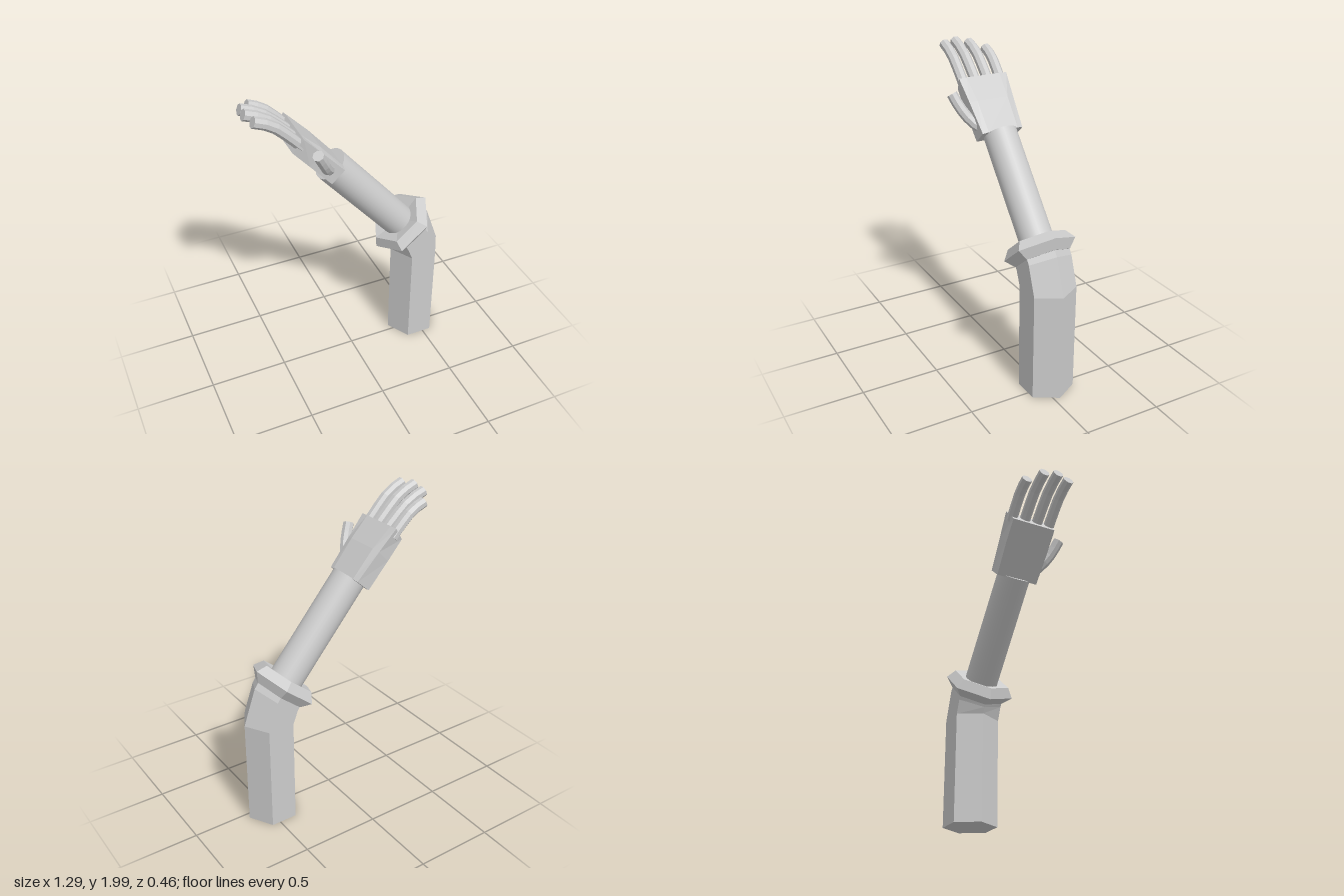
import * as THREE from 'three';

const flat = new THREE.MeshStandardMaterial({ color: 0xcccccc, flatShading: true });
const smooth = new THREE.MeshStandardMaterial({ color: 0xcccccc });
const V = (x, y, z) => new THREE.Vector3(x, y, z);

// Closed faceted skin over rings of points (counterclockwise seen from the far end)
function loft(name, rings) {
  const pts = [];
  const n = rings[0].length;
  const tri = (...corners) => corners.forEach((p) => pts.push(p));
  for (let i = 0; i < rings.length - 1; i++) {
    for (let j = 0; j < n; j++) {
      const k = (j + 1) % n;
      const [a, b, c, d] = [rings[i][j], rings[i][k], rings[i + 1][k], rings[i + 1][j]];
      tri(a, b, c);
      tri(a, c, d);
    }
  }
  const first = rings[0];
  const last = rings[rings.length - 1];
  for (let j = 1; j < n - 1; j++) {
    tri(first[0], first[j + 1], first[j]);
    tri(last[0], last[j], last[j + 1]);
  }
  const geometry = new THREE.BufferGeometry().setFromPoints(pts);
  geometry.computeVertexNormals();
  const mesh = new THREE.Mesh(geometry, flat);
  mesh.name = name;
  return mesh;
}

// Hexagon around a centre, tilted about z
function hexRing(x, y, z, radius, tilt = 0) {
  return Array.from({ length: 6 }, (_, i) => {
    const a = (i * Math.PI) / 3;
    const r = radius * Math.cos(a);
    return V(x + r * Math.cos(tilt), y + r * Math.sin(tilt), z - radius * Math.sin(a));
  });
}

// Bent faceted rod along a curve, with flat ends
function digit(name, points, radius, sides = 8, steps = 5) {
  const curve = new THREE.CatmullRomCurve3(points);
  const { normals, binormals } = curve.computeFrenetFrames(steps, false);
  const rings = normals.map((normal, i) => {
    const centre = curve.getPointAt(i / steps);
    return Array.from({ length: sides }, (_, j) => {
      const a = ((j + 0.5) / sides) * Math.PI * 2;
      return centre.clone()
        .addScaledVector(normal, radius * Math.cos(a))
        .addScaledVector(binormals[i], radius * Math.sin(a));
    });
  });
  return loft(name, rings);
}

export function createModel() {
  const model = new THREE.Group();
  model.name = 'raisedArm';
  const midZ = -0.04;
  const lean = THREE.MathUtils.degToRad(40);

  // Hexagonal sleeve with an elbow bend
  model.add(loft('sleeve', [
    hexRing(0.47, 0, midZ, 0.17),
    hexRing(0.47, 0.7, midZ, 0.17),
    hexRing(0.42, 0.835, midZ, 0.17, THREE.MathUtils.degToRad(35.5)),
    hexRing(0.403, 0.86, midZ, 0.17, lean),
  ]));

  // Leaning group: local y runs along the forearm, local x to the back of the hand
  const forearmGroup = new THREE.Group();
  forearmGroup.name = 'forearmAndPalm';
  forearmGroup.position.set(0.66, 0.554, midZ);
  forearmGroup.rotation.z = lean;
  model.add(forearmGroup);

  // Cuff with a sharp outer ridge and a slightly sunken top
  forearmGroup.add(loft('cuff', [
    hexRing(0, 0.4, 0, 0.172),
    hexRing(0, 0.456, 0, 0.225),
    hexRing(0, 0.515, 0, 0.182),
    hexRing(0, 0.5, 0, 0.1),
  ]));

  // Forearm
  const forearm = new THREE.Mesh(new THREE.CylinderGeometry(0.106, 0.106, 0.77, 32), smooth);
  forearm.name = 'forearm';
  forearm.position.y = 0.835;
  forearmGroup.add(forearm);

  // Palm, widening to the knuckles, with a low plateau on its back
  const palmRing = (yBack, yPalm, top, back, palm, plateau, wide, wideUnder) => [
    V(top, yBack, -plateau), V(back, yBack, -wide), V(palm, yPalm, -wideUnder),
    V(palm, yPalm, wideUnder), V(back, yBack, wide), V(top, yBack, plateau),
  ];
  forearmGroup.add(loft('palm', [
    palmRing(1.216, 1.212, 0.055, 0.046, -0.065, 0.1, 0.138, 0.138),
    palmRing(1.43, 1.42, 0.055, 0.04, -0.066, 0.105, 0.152, 0.145),
    palmRing(1.598, 1.574, 0.038, 0.034, -0.068, 0.115, 0.165, 0.145),
  ]));

  // Fingers: z at the knuckle and tip, tip x and y
  const fingers = [
    ['indexFinger', 0.085, 0.09, -0.615, 1.958],
    ['middleFinger', 0.0, 0.003, -0.64, 1.963],
    ['ringFinger', -0.085, -0.09, -0.632, 1.945],
    ['littleFinger', -0.17, -0.175, -0.565, 1.912],
  ];
  for (const [name, z0, z1, x, y] of fingers) {
    const at = (u, v, t) => V(
      -0.34 + (x + 0.34) * u, 1.735 + (y - 1.735) * v, THREE.MathUtils.lerp(z0, z1, t));
    model.add(digit(name, [at(0, 0, 0), at(0.33, 0.45, 0.4), at(0.64, 0.8, 0.8), at(1, 1, 1)], 0.034));
  }

  // Thumb, curving out to the front
  model.add(digit('thumb', [
    V(-0.16, 1.52, 0.06), V(-0.2, 1.56, 0.11), V(-0.245, 1.64, 0.165), V(-0.29, 1.727, 0.2),
  ], 0.034));

  return model;
}
